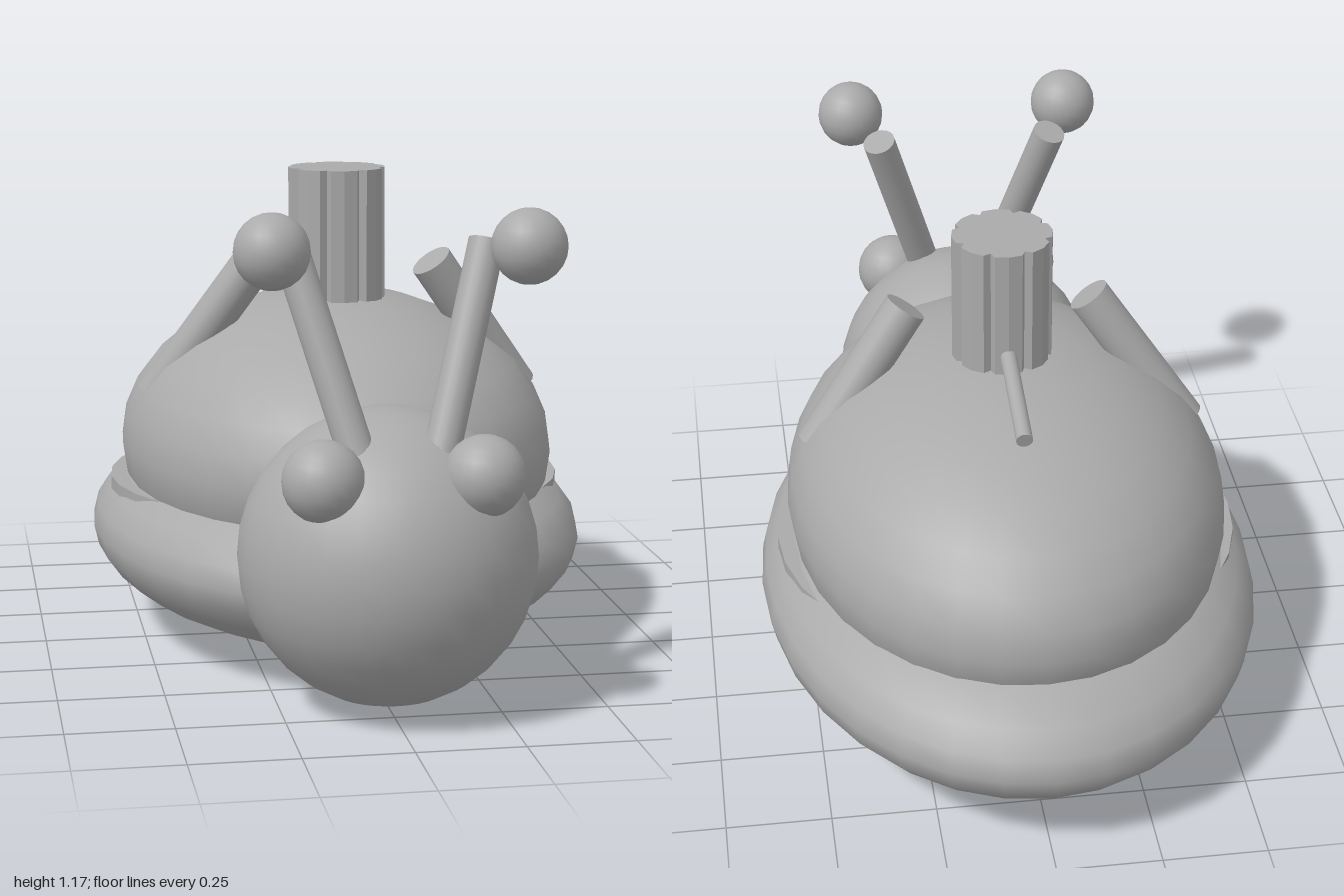
import * as THREE from 'three';

export function createModel() {
  const group = new THREE.Group();
  group.name = 'snail';
  const grey = new THREE.MeshStandardMaterial({ color: 0xaaaaaa });
  grey.name = 'plain grey';

  const add = (name, geometry, position) => {
    const mesh = new THREE.Mesh(geometry, grey);
    mesh.name = name;
    mesh.position.set(...position);
    group.add(mesh);
    return mesh;
  };
  const ellipsoid = (name, position, radii, segments = 32) =>
    add(name, new THREE.SphereGeometry(1, segments, segments / 2), position).scale.set(...radii);
  // Round rod between two points
  const rod = (name, from, to, radius) => {
    const a = new THREE.Vector3(...from), b = new THREE.Vector3(...to);
    const dir = b.clone().sub(a);
    const mesh = add(name, new THREE.CylinderGeometry(radius, radius, dir.length(), 20),
      a.clone().add(b).multiplyScalar(0.5).toArray());
    mesh.quaternion.setFromUnitVectors(new THREE.Vector3(0, 1, 0), dir.normalize());
  };

  // Main masses
  ellipsoid('body', [0, 0.263, -0.14], [0.615, 0.26, 0.86]);
  ellipsoid('shell', [0, 0.48, -0.115], [0.54, 0.38, 0.73]);
  ellipsoid('head', [0, 0.36, 0.655], [0.345, 0.345, 0.345]);

  // Thin disc under the shell, just breaking through the body at the sides
  add('shellRim', new THREE.CylinderGeometry(0.57, 0.57, 0.05, 32), [0, 0.368, -0.13]);

  // Paired parts
  for (const [side, s] of [['left', 1], ['right', -1]]) {
    ellipsoid(side + 'Eye', [s * 0.18, 0.583, 0.857], [0.093, 0.093, 0.093], 24);
    rod(side + 'Antenna', [s * 0.085, 0.59, 0.807], [s * 0.225, 1.077, 0.65], 0.042);
    ellipsoid(side + 'AntennaBall', [s * 0.285, 1.085, 0.812], [0.085, 0.085, 0.085], 24);
    rod(side + 'ShellPipe', [s * 0.46, 0.61, -0.055], [s * 0.225, 0.945, 0.012], 0.053);
  }

  // Fluted chimney with eight lobes
  const outline = [];
  for (let i = 0; i < 8; i++) {
    for (const [turn, r] of [[-16, 0.12], [0, 0.122], [16, 0.12], [22.5, 0.105]]) {
      const a = THREE.MathUtils.degToRad(i * 45 + turn);
      outline.push(new THREE.Vector2(r * Math.cos(a), r * Math.sin(a)));
    }
  }
  const chimney = new THREE.ExtrudeGeometry(new THREE.Shape(outline), { depth: 0.475, bevelEnabled: false });
  chimney.rotateX(-Math.PI / 2);
  add('chimney', chimney, [0, 0.7, -0.07]);

  // Thin rod leaning back from the chimney
  rod('backRod', [0, 0.923, -0.1], [0, 0.836, -0.455], 0.02);

  return group;
}
